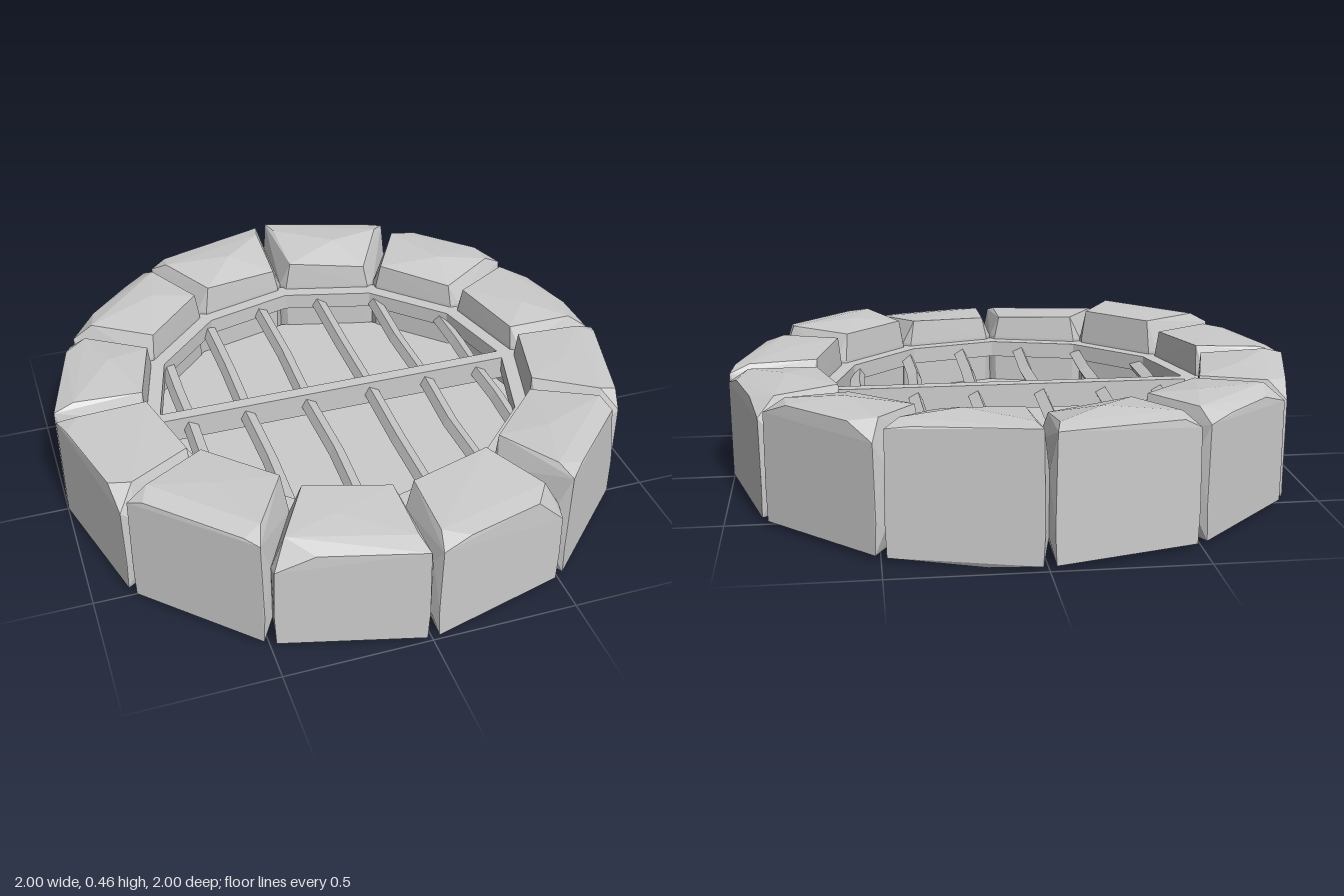
import * as THREE from 'three';
import { ConvexGeometry } from 'three/addons/geometries/ConvexGeometry.js';

const SIDES = 12;
const STEP = Math.PI * 2 / SIDES;
const mat = new THREE.MeshStandardMaterial({ color: 0xcccccc, flatShading: true });

function add(parent, name, geometry) {
  const mesh = new THREE.Mesh(geometry, mat);
  mesh.name = name;
  parent.add(mesh);
  return mesh;
}

// Regular polygon with a corner on +x
function polygon(radius, PathType = THREE.Shape) {
  const pts = [];
  for (let i = 0; i < SIDES; i++) {
    pts.push(new THREE.Vector2(Math.cos(i * STEP) * radius, Math.sin(i * STEP) * radius));
  }
  return new PathType(pts);
}

// Flat polygonal slab between two heights, with an optional hole
function slab(outer, inner, y0, y1) {
  const shape = polygon(outer);
  if (inner) shape.holes.push(polygon(inner, THREE.Path));
  const g = new THREE.ExtrudeGeometry(shape, { depth: y1 - y0, bevelEnabled: false });
  g.rotateX(-Math.PI / 2);
  g.translate(0, y0, 0);
  return g;
}

// Point in wedge k: t runs along the side, r is the corner radius, gap the inset from the joint
function wedgePoint(k, t, r, y, gap) {
  const a0 = k * STEP, a1 = (k + 1) * STEP;
  const p0 = new THREE.Vector3(Math.cos(a0) * r - Math.sin(a0) * gap, y, Math.sin(a0) * r + Math.cos(a0) * gap);
  const p1 = new THREE.Vector3(Math.cos(a1) * r + Math.sin(a1) * gap, y, Math.sin(a1) * r - Math.cos(a1) * gap);
  return p0.lerp(p1, t);
}

// Heights per stone: outer corner start, rim, outer corner end; crown start, end; inner start, end
const STONES = [
  [0.38, 0.41, 0.35, 0.41, 0.42, 0.42, 0.43],
  [0.16, 0.44, 0.42, 0.44, 0.44, 0.43, 0.43],
  [0.28, 0.40, 0.37, 0.40, 0.40, 0.42, 0.41],
  [0.38, 0.39, 0.32, 0.40, 0.41, 0.41, 0.42],
  [0.42, 0.44, 0.41, 0.45, 0.45, 0.45, 0.45],
  [0.34, 0.42, 0.40, 0.42, 0.42, 0.42, 0.43],
  [0.41, 0.42, 0.36, 0.43, 0.42, 0.42, 0.41],
  [0.37, 0.42, 0.40, 0.43, 0.44, 0.42, 0.43],
  [0.40, 0.44, 0.44, 0.44, 0.45, 0.43, 0.41],
  [0.45, 0.45, 0.43, 0.455, 0.45, 0.43, 0.41],
  [0.38, 0.44, 0.39, 0.44, 0.43, 0.42, 0.41],
  [0.36, 0.41, 0.36, 0.42, 0.41, 0.42, 0.41],
];

// Chipped wedge-shaped stone; its sides bulge to meet its neighbours at mid height
function stoneGeometry(k) {
  const [o0, rim, o1, c0, c1, i0, i1] = STONES[k];
  const shoulder = 0.12 + 0.05 * ((k * 5) % 4);
  const base = k === 9 ? 0.003 : 0.02;
  const points = [
    wedgePoint(k, 0.35, 0.99, base, 0.02),
    wedgePoint(k, 0.3, 0.72, base, 0.02),
    wedgePoint(k, 0.5 + shoulder / 2, 0.83, Math.max(c0, c1) + 0.005, 0.03),
  ];
  for (const [t, o, c, i] of [[0, o0, c0, i0], [1, o1, c1, i1]]) {
    const P = (r, y, gap, inset = 0) => wedgePoint(k, Math.abs(t - inset), r, y, gap);
    points.push(
      // underside
      P(0.69, 0.02, 0.026), P(1, 0.02, 0.02),
      // bulge of the joint face
      P(0.72, 0.1, 0), P(0.965, 0.1, 0), P(0.72, 0.33, 0), P(0.965, 0.31, 0),
      // outer corner and rim
      P(1, 0.13, 0.015), P(1, o, 0.02),
      P(0.997, rim - 0.01, 0.02, shoulder),
      // crown and inner rim
      P(0.93, c, 0.032, 0.01), P(0.692, i, 0.035), P(0.69, 0.33, 0.018),
    );
  }
  return new ConvexGeometry(points);
}

// Slanted grate rod that kinks slightly halfway along
function rodGeometry(length, kink) {
  const g = new THREE.BoxGeometry(0.04, 0.036, length, 1, 1, 2);
  g.rotateZ(-0.5);
  const p = g.attributes.position;
  for (let i = 0; i < p.count; i++) {
    if (Math.abs(p.getZ(i)) < 0.01) p.setX(i, p.getX(i) + kink);
  }
  g.computeVertexNormals();
  return g;
}

export function createModel() {
  const model = new THREE.Group();
  model.name = 'stoneRingWithGrate';

  // Ring of stones
  const ring = new THREE.Group();
  ring.name = 'stoneRing';
  model.add(ring);
  for (let k = 0; k < SIDES; k++) add(ring, `stone${k + 1}`, stoneGeometry(k));

  // Recessed floor
  add(model, 'floor', slab(0.7, 0, 0.1, 0.15));

  // Grate: rim, long centre bar and two rows of rods
  const grate = new THREE.Group();
  grate.name = 'grate';
  model.add(grate);
  add(grate, 'grateRim', slab(0.71, 0.645, 0.26, 0.32));
  add(grate, 'centreBar', new THREE.BoxGeometry(1.3, 0.09, 0.045)).position.y = 0.275;

  const rods = [[-0.54, 0.38, -0.004], [-0.335, 0.57, 0.006], [-0.11, 0.63, 0.01],
    [0.13, 0.63, -0.004], [0.345, 0.56, -0.012], [0.545, 0.37, 0.006]];
  for (const [x, reach, kink] of rods) {
    for (const side of [-1, 1]) {
      const rod = add(grate, 'grateRod', rodGeometry(reach, kink * (side > 0 ? 1 : 0.7)));
      rod.position.set(x, 0.275, side * reach / 2);
    }
  }
  return model;
}
